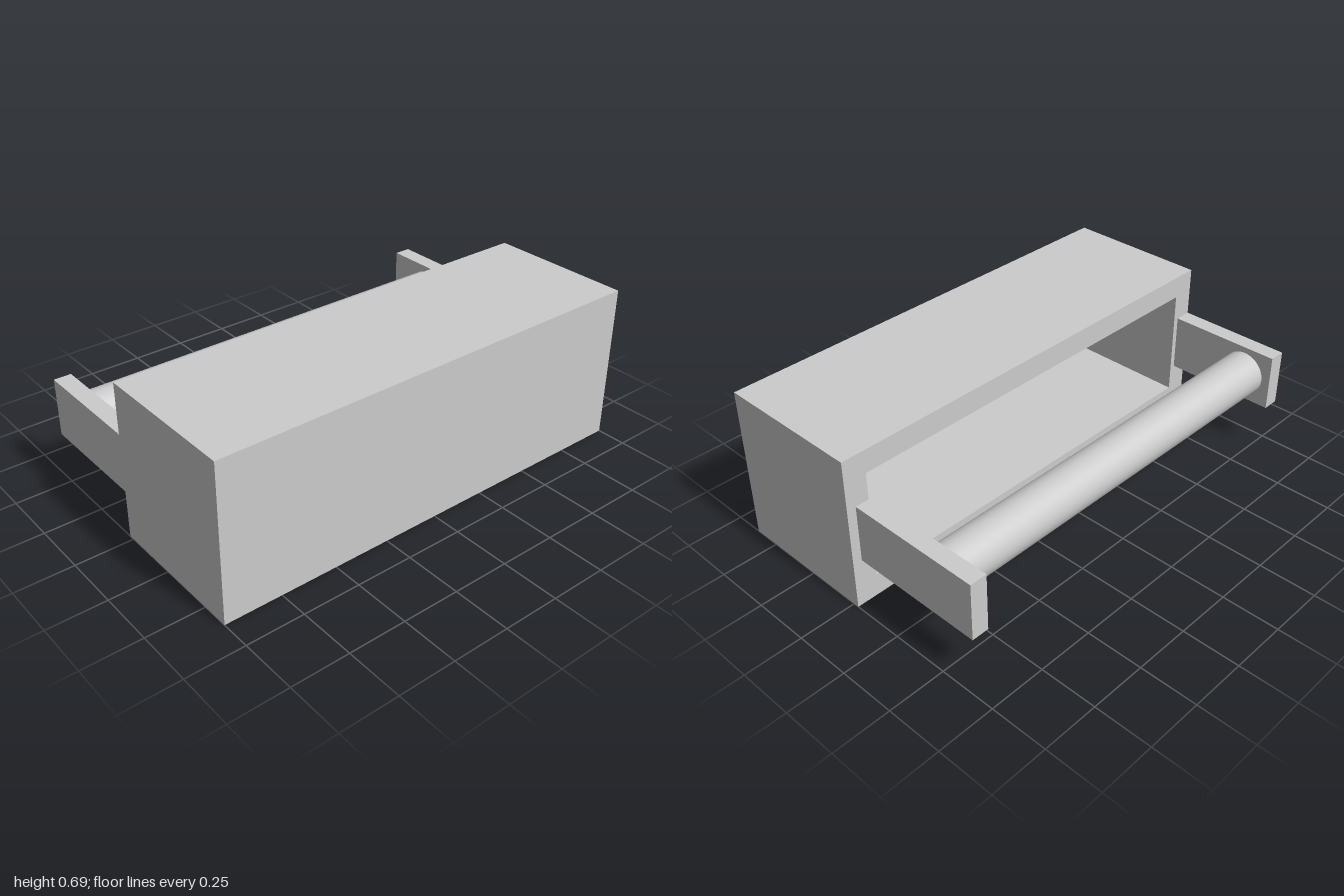
import * as THREE from 'three';

const material = new THREE.MeshStandardMaterial({ color: 0xcccccc });

function addMesh(parent, name, geometry, x, y, z) {
  const mesh = new THREE.Mesh(geometry, material);
  mesh.name = name;
  mesh.position.set(x, y, z);
  parent.add(mesh);
  return mesh;
}

// Box without its back (-z) face, which is the last one in the index; inward turns it inside out
function openBox(w, h, d, inward) {
  const box = new THREE.BoxGeometry(w, h, d);
  const index = Array.from(box.index.array).slice(0, 30);
  box.clearGroups();
  box.setIndex(inward ? index.reverse() : index);
  box.computeVertexNormals();
  return box;
}

function rectangle(PathType, w, h) {
  return new PathType().moveTo(-w / 2, -h / 2).lineTo(w / 2, -h / 2)
    .lineTo(w / 2, h / 2).lineTo(-w / 2, h / 2).closePath();
}

export function createModel() {
  const model = new THREE.Group();
  model.name = 'rollerHolder';

  const width = 2, height = 0.685, depth = 0.645, back = -0.025;
  const wall = 0.1, cavityDepth = 0.6;
  const innerW = width - 2 * wall, innerH = height - 2 * wall;

  // Hollow case, open at the back
  const housing = new THREE.Group();
  housing.name = 'case';
  model.add(housing);
  addMesh(housing, 'outerShell', openBox(width, height, depth, false), 0, height / 2, back + depth / 2);
  addMesh(housing, 'cavity', openBox(innerW, innerH, cavityDepth, true), 0, height / 2, back + cavityDepth / 2);

  // Rim around the opening
  const rim = rectangle(THREE.Shape, width, height);
  rim.holes.push(rectangle(THREE.Path, innerW, innerH));
  addMesh(housing, 'backRim', new THREE.ShapeGeometry(rim), 0, height / 2, back).rotation.y = Math.PI;

  // Two arms of unequal length reaching backwards
  const armY = 0.338, armH = 0.255, armW = 0.075;
  for (const [name, x, end] of [['rightArm', -0.9625, -0.54], ['leftArm', 0.9225, -0.62]]) {
    addMesh(model, name, new THREE.BoxGeometry(armW, armH, back - end), x, armY, (back + end) / 2);
  }

  // Roller held between the arms
  const x0 = -0.925, x1 = 0.885;
  const roller = new THREE.CylinderGeometry(0.1, 0.1, x1 - x0, 48).rotateZ(Math.PI / 2);
  addMesh(model, 'roller', roller, (x0 + x1) / 2, armY, -0.4);

  return model;
}
